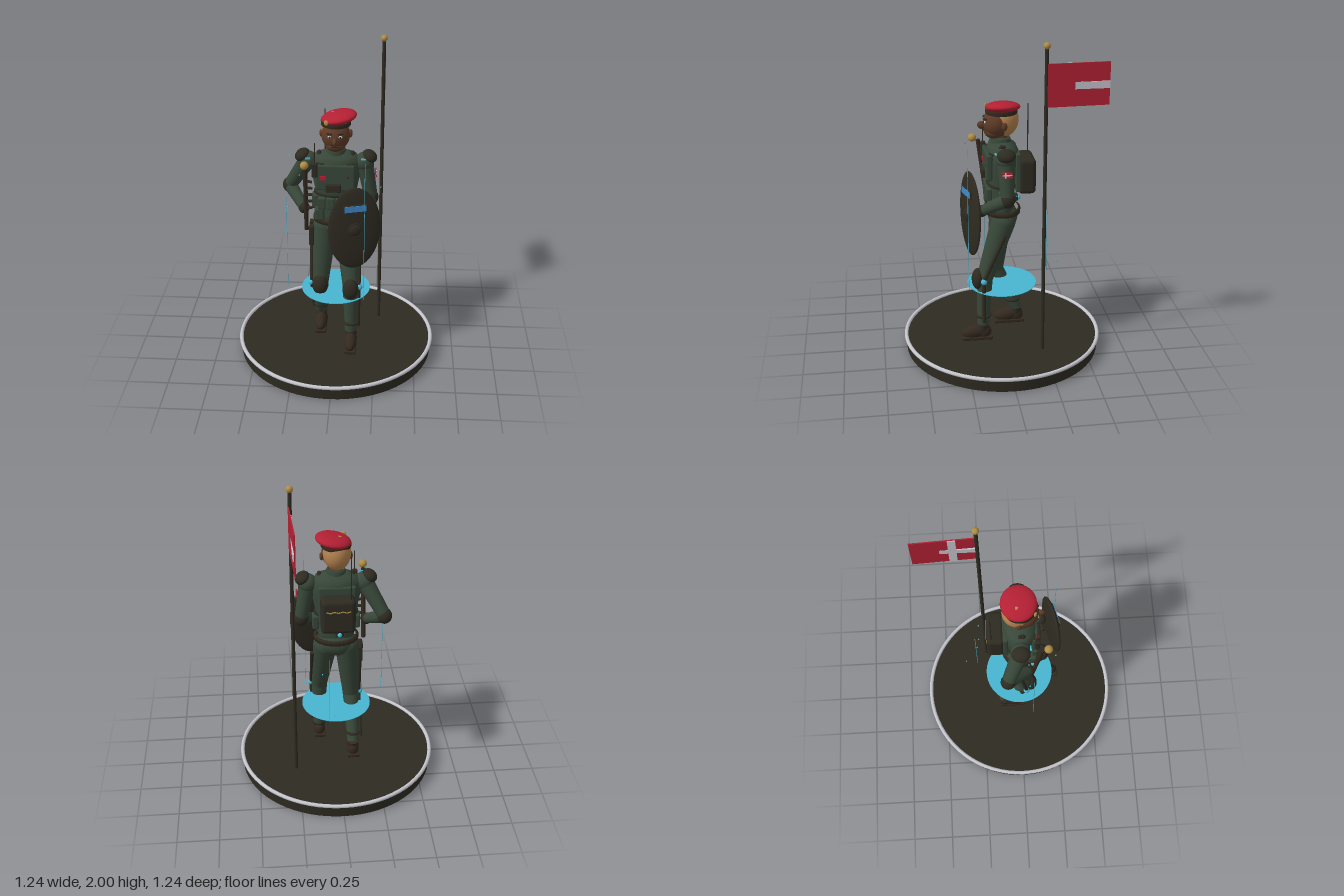
import * as THREE from 'three';
import { RoundedBoxGeometry } from 'three/addons/geometries/RoundedBoxGeometry.js';

const mat = (name, color, side = THREE.FrontSide) => {
  const m = new THREE.MeshStandardMaterial({ color, side });
  m.name = name;
  return m;
};

export function createModel() {
  const dark = mat('dark olive', 0x2e2b21), silver = mat('silver', 0xc4c4cc);
  const green = mat('uniform green', 0x384739), skin = mat('skin', 0x5e3b27);
  const tan = mat('tan', 0xb5834f), gold = mat('gold', 0xb08d45);
  const red = mat('red', 0xb32033), cyan = mat('cyan', 0x49b6d2, THREE.DoubleSide);
  const blue = mat('blue', 0x3f88c8), brown = mat('boot brown', 0x33291f);

  const model = new THREE.Group();
  model.name = 'guardFigure';
  const V = (p) => new THREE.Vector3(...p);
  let parent = model;

  const add = (name, geo, m, pos = [0, 0, 0], rot = [0, 0, 0], scale = [1, 1, 1]) => {
    const mesh = new THREE.Mesh(geo, m);
    mesh.name = name;
    mesh.position.set(...pos);
    mesh.rotation.set(...rot);
    mesh.scale.set(...scale);
    parent.add(mesh);
    return mesh;
  };
  const box = (name, m, size, pos, rot) => add(name, new THREE.BoxGeometry(...size), m, pos, rot);
  const soft = (name, m, size, pos, rot) =>
    add(name, new RoundedBoxGeometry(...size, 2, Math.min(...size) * 0.25), m, pos, rot);
  const ball = (name, m, radii, pos, rot) =>
    add(name, new THREE.SphereGeometry(1, 28, 18), m, pos, rot, radii);
  // Tapered cylinder running from point a to point b
  const rod = (name, m, a, b, ra, rb = ra, sides = 18) => {
    const A = V(a), B = V(b), d = B.clone().sub(A);
    const mesh = add(name, new THREE.CylinderGeometry(rb, ra, d.length(), sides), m);
    mesh.position.copy(A.add(B).multiplyScalar(0.5));
    mesh.quaternion.setFromUnitVectors(new THREE.Vector3(0, 1, 0), d.normalize());
    return mesh;
  };
  const lathe = (name, m, pts, pos, scale) =>
    add(name, new THREE.LatheGeometry(pts.map((p) => new THREE.Vector2(...p)), 36), m, pos, [0, 0, 0], scale);
  const group = (name, build) => {
    const g = new THREE.Group();
    g.name = name;
    model.add(g);
    parent = g;
    build(g);
    parent = model;
  };

  group('base', () => {
    add('plinth', new THREE.CylinderGeometry(0.612, 0.605, 0.08, 72), dark, [0, 0.04, 0]);
    add('rim', new THREE.TorusGeometry(0.608, 0.012, 10, 72), silver, [0, 0.082, 0], [Math.PI / 2, 0, 0]);
  });

  // Flag leans across its straight cross bars
  group('flag', () => {
    rod('pole', dark, [0.27, 0.08, -0.215], [0.27, 1.98, -0.215], 0.011);
    ball('finial', gold, [0.02, 0.02, 0.02], [0.27, 1.98, -0.215]);
    box('cloth', red, [0.007, 0.25, 0.36], [0.27, 1.755, -0.4], [0, 0.045, 0]);
    box('crossBar', silver, [0.009, 0.042, 0.36], [0.27, 1.75, -0.4]);
    box('crossUpright', silver, [0.006, 0.25, 0.045], [0.268, 1.755, -0.35]);
  });

  // Floating ring plate, beams and sparks
  group('projection', () => {
    add('disc', new THREE.CylinderGeometry(0.215, 0.215, 0.003, 56), cyan, [0, 0.425, 0]);
    [[0.18, 0.225, 1.37], [-0.295, 0.075, 1.08], [0.06, -0.27, 0.91]].forEach(([x, z, top]) =>
      rod('beam', cyan, [x, 0.465, z], [x, top, z], 0.0018, 0.0018, 6));
    [[0.04, 0.56, -0.34], [0.05, 0.79, -0.26], [0.21, 0.75, -0.25], [0.27, 1.1, -0.05], [0.1, 0.8, -0.25],
      [-0.27, 1.34, 0.04], [-0.2, 1.28, 0.2], [-0.29, 1.0, 0.05]].forEach((p) =>
      add('spark', new THREE.TetrahedronGeometry(0.007), cyan, p));
  });

  // Trunk, collar, vest and belt
  group('torso', () => {
    lathe('jacket', green, [[0, 0.87], [0.105, 0.89], [0.112, 0.95], [0.11, 1.02], [0.128, 1.12], [0.146, 1.22],
      [0.15, 1.29], [0.125, 1.335], [0.055, 1.36], [0, 1.365]], [0, 0, 0], [1, 1, 0.66]);
    ball('pelvis', green, [0.125, 0.09, 0.09], [0, 0.88, -0.005]);
    lathe('collar', green, [[0.06, 1.32], [0.058, 1.37], [0.05, 1.385], [0.045, 1.37]], [0, 0, 0.005]);
    rod('neck', skin, [0, 1.33, 0], [0, 1.42, 0.015], 0.043);
    lathe('belt', brown, [[0.12, 0.905], [0.137, 0.907], [0.137, 0.933], [0.12, 0.935]], [0, 0, 0], [1, 1, 0.82]);
    box('buckle', dark, [0.05, 0.036, 0.012], [0, 0.92, 0.113]);
    lathe('vestSeam', dark, [[0.125, 1.085], [0.133, 1.088], [0.133, 1.1], [0.125, 1.103]], [0, 0, 0], [1, 1, 0.7]);
    soft('chestPanel', green, [0.23, 0.16, 0.035], [0, 1.22, 0.088]);
    soft('backPanel', green, [0.22, 0.24, 0.03], [0, 1.18, -0.085]);
    for (const s of [-1, 1]) {
      rod('frontStrap', dark, [s * 0.075, 1.22, 0.1], [s * 0.1, 1.35, 0.01], 0.013);
      rod('backStrap', dark, [s * 0.1, 1.35, 0.01], [s * 0.085, 1.22, -0.1], 0.013);
      soft('shoulderBuckle', dark, [0.045, 0.04, 0.03], [s * 0.085, 1.285, 0.075]);
      soft('beltPouch', green, [0.06, 0.08, 0.05], [s * 0.095, 0.975, 0.075]);
      soft('sidePouch', green, [0.04, 0.09, 0.07], [s * 0.125, 1.03, 0]);
    }
    for (let i = 0; i < 4; i++) soft('magazinePouch', green, [0.048, 0.075, 0.035], [-0.081 + i * 0.054, 1.05, 0.088]);
    soft('chestPouch', dark, [0.09, 0.05, 0.03], [-0.01, 1.16, 0.11]);
    box('nameTape', red, [0.04, 0.024, 0.008], [-0.072, 1.222, 0.108]);
    soft('radio', dark, [0.035, 0.09, 0.03], [-0.12, 1.27, 0.1]);
    rod('radioAntenna', dark, [-0.12, 1.3, 0.1], [-0.12, 1.44, 0.1], 0.003, 0.003, 8);
  });

  group('head', () => {
    ball('skull', tan, [0.083, 0.108, 0.088], [-0.004, 1.489, -0.013]);
    ball('face', skin, [0.084, 0.09, 0.083], [0, 1.468, 0.03]);
    ball('jaw', skin, [0.062, 0.045, 0.065], [0, 1.417, 0.042]);
    ball('nose', skin, [0.015, 0.024, 0.028], [0, 1.456, 0.12], [-0.3, 0, 0]);
    ball('mouth', brown, [0.028, 0.005, 0.008], [0, 1.42, 0.102]);
    ball('moustache', brown, [0.03, 0.006, 0.009], [0, 1.434, 0.106]);
    for (const s of [-1, 1]) {
      ball('ear', skin, [0.012, 0.025, 0.017], [s * 0.086, 1.465, -0.005]);
      ball('eye', silver, [0.012, 0.008, 0.008], [s * 0.031, 1.482, 0.104]);
      ball('pupil', dark, [0.005, 0.006, 0.004], [s * 0.031, 1.482, 0.111]);
      box('brow', brown, [0.032, 0.007, 0.012], [s * 0.032, 1.5, 0.102], [0, s * 0.3, 0]);
    }
    ball('beret', red, [0.107, 0.034, 0.104], [0.017, 1.568, -0.003], [0, 0, 0.17]);
    lathe('beretBand', brown, [[0.084, 1.525], [0.089, 1.527], [0.089, 1.55], [0.084, 1.552]], [0, 0, 0.003], [1, 1, 1.06]);
    ball('beretBadge', gold, [0.014, 0.017, 0.008], [-0.052, 1.562, 0.088], [0, -0.5, 0]);
  });

  // Legs in mid stride with outer braces; s is the side sign
  const leg = (name, s, hip, knee, ankle, footZ) => group(name, () => {
    rod('thigh', green, hip, knee, 0.075, 0.05, 24);
    ball('hipJoint', green, [0.075, 0.075, 0.075], hip);
    ball('kneeJoint', green, [0.051, 0.055, 0.051], knee);
    rod('shin', green, knee, ankle, 0.05, 0.037, 24);
    ball('kneePad', dark, [0.05, 0.068, 0.04], [knee[0], knee[1], knee[2] + 0.04]);
    rod('bootShaft', brown, ankle, [ankle[0], 0.12, ankle[2] + 0.01], 0.037, 0.036);
    ball('heel', brown, [0.037, 0.05, 0.045], [ankle[0], 0.135, footZ - 0.045]);
    ball('toe', brown, [0.04, 0.045, 0.085], [ankle[0], 0.138, footZ + 0.01], [0.18, 0, 0]);
    soft('sole', brown, [0.076, 0.022, 0.19], [ankle[0], 0.1, footZ]);
    // Brace
    const x = s * 0.148;
    const k = [x, knee[1], knee[2] + 0.01], a = [s * 0.146, ankle[1] + 0.03, ankle[2]];
    rod('upperBrace', dark, [x, 0.8, hip[2]], k, 0.012);
    rod('lowerBrace', dark, k, a, 0.012);
    ball('braceHinge', cyan, [0.019, 0.019, 0.019], [s * 0.152, k[1], k[2]]);
    add('ankleCuff', new THREE.TorusGeometry(0.042, 0.009, 8, 24), dark,
      [ankle[0], ankle[1] + 0.06, ankle[2] + (s < 0 ? 0.025 : 0)], [Math.PI / 2, 0, 0]);
  });
  leg('leftLeg', 1, [0.066, 0.86, 0], [0.098, 0.5, 0.12], [0.1, 0.19, 0.13], 0.17);
  leg('rightLeg', -1, [-0.066, 0.86, -0.005], [-0.095, 0.475, 0.03], [-0.1, 0.19, -0.105], -0.06);
  group('holster', () => {
    soft('holsterBody', dark, [0.032, 0.13, 0.07], [-0.148, 0.8, 0.01]);
    soft('grip', dark, [0.024, 0.05, 0.03], [-0.15, 0.86, -0.02], [0.4, 0, 0]);
  });

  const arm = (name, s, shoulder, elbow, hand) => group(name, () => {
    ball('shoulder', green, [0.058, 0.058, 0.058], shoulder);
    rod('upperArm', green, shoulder, elbow, 0.052, 0.04, 24);
    ball('elbowPad', dark, [0.045, 0.05, 0.045], elbow);
    rod('forearm', green, elbow, hand, 0.042, 0.031, 24);
    ball('glove', dark, [0.034, 0.036, 0.034], hand);
    ball('shoulderCap', dark, [0.047, 0.035, 0.055], [s * 0.2, shoulder[1] + 0.035, 0], [0, 0, -s * 0.5]);
    box('shoulderLight', cyan, [0.03, 0.008, 0.01], [s * 0.165, 1.325, 0.058]);
  });
  arm('leftArm', 1, [0.17, 1.29, 0], [0.212, 1.055, -0.005], [0.15, 0.97, 0.14]);
  arm('rightArm', -1, [-0.17, 1.29, 0], [-0.285, 1.09, -0.08], [-0.19, 1.0, 0.05]);
  group('armPatch', () => {
    box('patch', red, [0.008, 0.034, 0.058], [0.239, 1.22, 0], [0, 0, 0.17]);
    box('patchBar', silver, [0.008, 0.007, 0.058], [0.241, 1.22, 0], [0, 0, 0.17]);
    box('patchUpright', silver, [0.008, 0.034, 0.008], [0.241, 1.22, 0.01], [0, 0, 0.17]);
  });

  group('staff', () => {
    rod('shaft', brown, [-0.175, 0.86, 0.065], [-0.175, 1.31, 0.125], 0.013);
    for (let i = 0; i < 5; i++) box('notch', dark, [0.035, 0.012, 0.016], [-0.152, 1.02 + i * 0.045, 0.09 + i * 0.006]);
    ball('pommel', gold, [0.025, 0.025, 0.025], [-0.176, 1.323, 0.16]);
  });

  // Oval shield, turned slightly to the left
  group('shield', (g) => {
    g.position.set(0.12, 0.945, 0.205);
    g.rotation.y = 0.26;
    ball('shieldFace', dark, [0.16, 0.265, 0.026], [0, 0, 0]);
    soft('windowFrame', dark, [0.145, 0.048, 0.014], [0, 0.14, 0.02]);
    box('window', blue, [0.132, 0.038, 0.009], [0, 0.14, 0.026]);
    ball('boss', dark, [0.04, 0.04, 0.018], [0, 0, 0.024]);
    add('bossRing', new THREE.TorusGeometry(0.042, 0.005, 8, 28), dark, [0, 0, 0.027]);
    rod('handle', dark, [-0.03, 0.02, -0.06], [0.06, 0.02, -0.06], 0.01);
  });

  group('backpack', () => {
    soft('pack', dark, [0.205, 0.22, 0.105], [0, 1.15, -0.143]);
    for (let i = 0; i < 6; i++)
      box('cord', gold, [0.026, 0.006, 0.006], [-0.06 + i * 0.024, 1.19, -0.196], [0, 0, i % 2 ? 0.3 : -0.3]);
    rod('antenna', dark, [-0.075, 1.25, -0.168], [-0.075, 1.555, -0.168], 0.004, 0.003, 8);
    soft('powerCell', dark, [0.05, 0.04, 0.03], [-0.015, 0.985, -0.085]);
    ball('powerLight', cyan, [0.014, 0.014, 0.014], [-0.015, 0.98, -0.103]);
  });

  return model;
}
